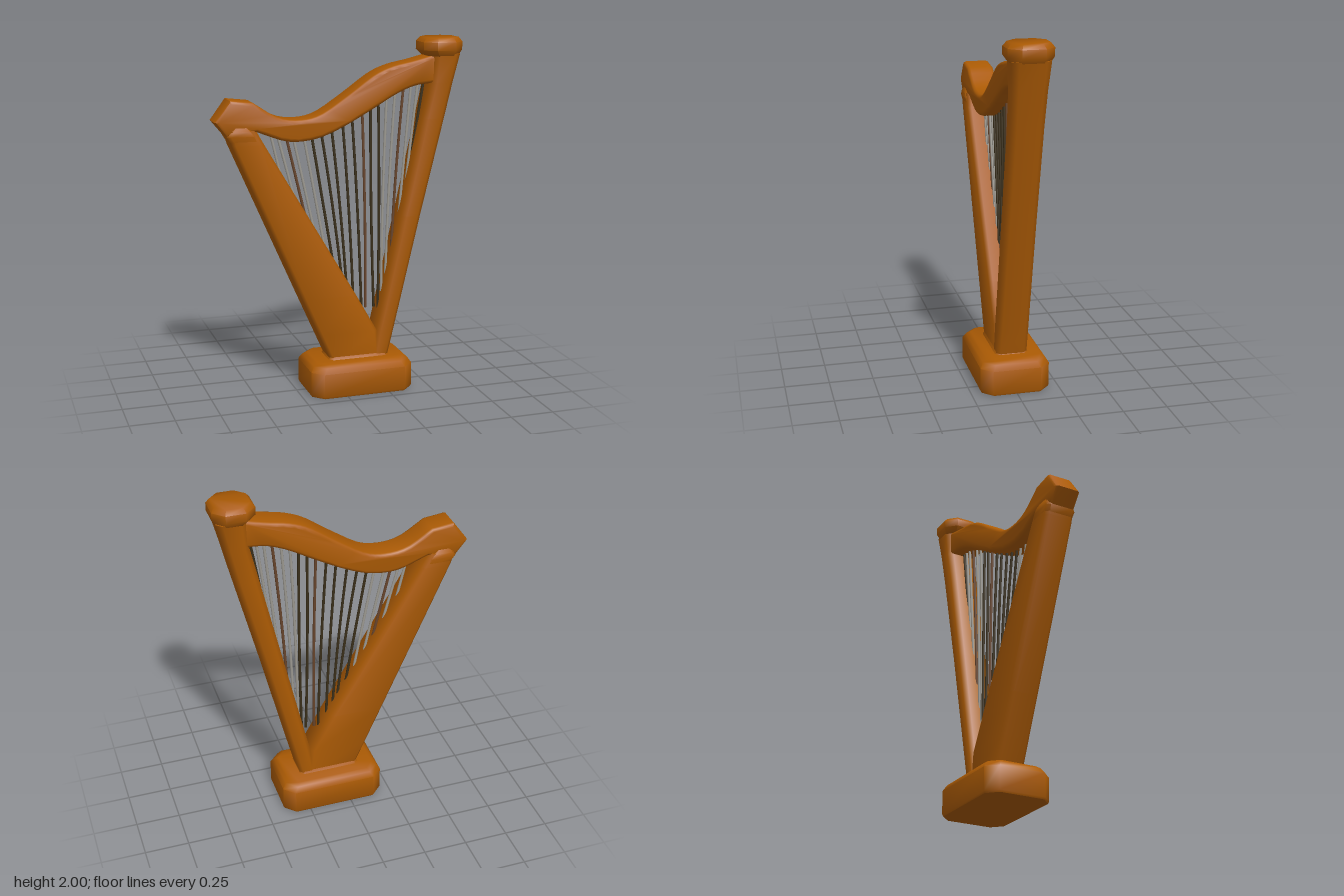
import * as THREE from 'three';
import { toCreasedNormals } from 'three/addons/utils/BufferGeometryUtils.js';

function flatColour(name, color) {
  const material = new THREE.MeshStandardMaterial({ color });
  material.name = name;
  return material;
}
const wood = flatColour('wood', 0xaa5a04);
const darkString = flatColour('dark string', 0x3a2f1a);
const brownString = flatColour('brown string', 0x68452c);
const greyString = flatColour('grey string', 0x9d9a92);

// Stack of chamfered rectangles, each [y, left, right, half depth, chamfer]
function loft(rings) {
  const pos = [], index = [];
  for (const [y, x0, x1, z, c] of rings) {
    const ring = [
      [x1, z - c], [x1, c - z], [x1 - c, -z], [x0 + c, -z],
      [x0, c - z], [x0, z - c], [x0 + c, z], [x1 - c, z],
    ];
    for (const [x, pz] of ring) pos.push(x, y, pz);
  }
  for (let r = 0; r < rings.length - 1; r++) {
    for (let i = 0; i < 8; i++) {
      const a = r * 8 + i, b = r * 8 + (i + 1) % 8;
      index.push(a, b, b + 8, a, b + 8, a + 8);
    }
  }
  const top = (rings.length - 1) * 8;
  for (let i = 1; i < 7; i++) {
    index.push(0, i + 1, i, top, top + i, top + i + 1);
  }
  const g = new THREE.BufferGeometry();
  g.setAttribute('position', new THREE.Float32BufferAttribute(pos, 3));
  g.setIndex(index);
  return toCreasedNormals(g, 0.95);
}

// Underside and top of the neck
const underside = [
  [-0.48, 1.52], [-0.33, 1.465], [-0.25, 1.455], [-0.13, 1.47], [0, 1.52],
  [0.17, 1.61], [0.33, 1.7], [0.44, 1.74], [0.56, 1.75],
];
const upperside = [
  [0.56, 1.91], [0.42, 1.875], [0.3, 1.85], [0.2, 1.81], [0.04, 1.7],
  [-0.13, 1.595], [-0.23, 1.575], [-0.35, 1.59], [-0.5, 1.68],
];

function undersideY(x) {
  const i = Math.max(1, underside.findIndex(p => p[0] >= x));
  const [a, b] = [underside[i - 1], underside[i]];
  return a[1] + (b[1] - a[1]) * (x - a[0]) / (b[0] - a[0]);
}

// Curved neck with its angular head at the left
function neckGeometry() {
  const smooth = pts => new THREE.CatmullRomCurve3(
    pts.map(([x, y]) => new THREE.Vector3(x, y, 0))).getPoints(28)
    .map(p => new THREE.Vector2(p.x, p.y));
  const head = [[-0.625, 1.695], [-0.71, 1.58], [-0.645, 1.5]]
    .map(p => new THREE.Vector2(...p));
  const bevel = 0.018;
  const shape = new THREE.Shape([...smooth(underside), ...smooth(upperside), ...head]);
  const g = new THREE.ExtrudeGeometry(shape, {
    depth: 0.156 - 2 * bevel, bevelThickness: bevel, bevelSize: bevel,
    bevelOffset: -bevel, bevelSegments: 2,
  });
  g.translate(0, 0, -0.078 + bevel);
  return toCreasedNormals(g, 0.85);
}

// Each string: top x, bottom x, bottom y, sideways bow, material
const strings = [
  [-0.39, -0.33, 1.26, 0, greyString], [-0.35, -0.25, 1.12, 0, greyString],
  [-0.3, -0.19, 1.02, 0, brownString], [-0.26, -0.14, 0.94, 0, greyString],
  [-0.2, -0.08, 0.84, 0, greyString], [-0.155, -0.03, 0.75, 0, darkString],
  [-0.1, 0.02, 0.67, 0.012, darkString], [-0.04, 0.05, 0.61, 0.012, darkString],
  [0.025, 0.09, 0.54, 0.012, darkString], [0.08, 0.14, 0.47, 0.012, darkString],
  [0.14, 0.165, 0.47, 0.012, brownString], [0.19, 0.215, 0.47, -0.012, darkString],
  [0.235, 0.24, 0.46, 0.012, darkString], [0.285, 0.26, 0.56, -0.012, greyString],
  [0.335, 0.285, 0.66, -0.012, greyString], [0.385, 0.32, 0.82, -0.012, brownString],
  [0.43, 0.365, 1.02, 0, greyString], [0.47, 0.405, 1.2, 0, greyString],
  [0.505, 0.44, 1.37, 0, darkString],
];

export function createModel() {
  const group = new THREE.Group();
  const add = (name, geometry, material = wood) => {
    const mesh = new THREE.Mesh(geometry, material);
    mesh.name = name;
    group.add(mesh);
  };

  add('base', loft([
    [0, -0.195, 0.395, 0.19, 0.058], [0.012, -0.2, 0.4, 0.196, 0.06],
    [0.145, -0.2, 0.4, 0.196, 0.06], [0.175, -0.18, 0.38, 0.178, 0.058],
    [0.19, -0.155, 0.36, 0.155, 0.05],
  ]));
  // Low fillet where the frame meets the base
  add('foot', loft([[0.17, -0.09, 0.29, 0.105, 0.03], [0.205, -0.07, 0.272, 0.086, 0.02]]));

  add('soundbox', loft([
    [0.17, -0.06, 0.23, 0.086, 0.02], [0.34, -0.135, 0.21, 0.086, 0.02],
    [0.56, -0.232, 0.085, 0.086, 0.02], [1.45, -0.62, -0.44, 0.086, 0.02],
    [1.53, -0.64, -0.485, 0.084, 0.02],
  ]));
  // Slight swelling under the head of the neck
  add('soundboxCollar', loft([
    [1.45, -0.615, -0.455, 0.082, 0.02], [1.5, -0.645, -0.48, 0.09, 0.02],
    [1.525, -0.635, -0.5, 0.088, 0.02], [1.56, -0.61, -0.53, 0.072, 0.02],
  ]));

  add('column', loft([
    [0.17, 0.18, 0.272, 0.088, 0.02], [0.34, 0.21, 0.314, 0.088, 0.022],
    [1.0, 0.355, 0.47, 0.088, 0.025], [1.55, 0.476, 0.605, 0.089, 0.026],
    [1.75, 0.52, 0.652, 0.094, 0.028], [1.91, 0.53, 0.692, 0.104, 0.032],
  ]));
  add('columnCap', loft([
    [1.895, 0.515, 0.685, 0.1, 0.045], [1.93, 0.478, 0.708, 0.122, 0.06],
    [1.975, 0.478, 0.708, 0.122, 0.06], [2, 0.5, 0.69, 0.102, 0.05],
  ]));
  add('neck', neckGeometry());

  // Strings run from inside the neck to the soundbox or column
  strings.forEach(([topX, x, y, bow, material], i) => {
    const top = new THREE.Vector3(topX, undersideY(topX) + 0.02, 0);
    const bottom = new THREE.Vector3(x, y - 0.01, 0);
    const middle = top.clone().lerp(bottom, 0.5);
    middle.x += bow;
    const path = new THREE.QuadraticBezierCurve3(top, middle, bottom);
    add('string' + (i + 1), new THREE.TubeGeometry(path, 8, 0.008, 8), material);
  });

  return group;
}
